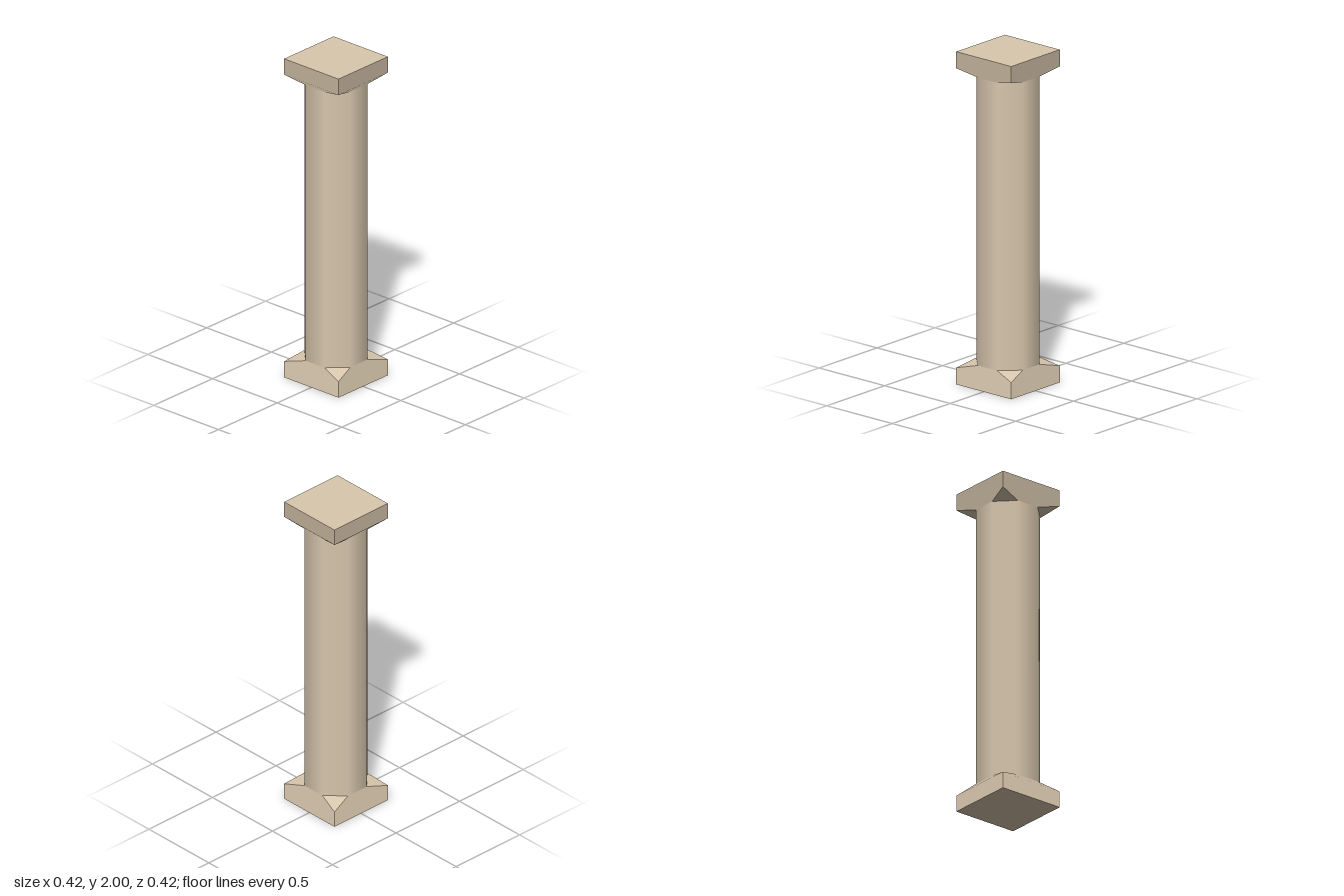
import * as THREE from 'three';

const HALF = 0.21;        // half width of the square plinth
const RADIUS = 0.192;     // corner radius of the eight-sided shaft
const EDGE = 0.1;         // height of the plinth corners
const TOP = 0.135;        // height where the plinth meets the shaft
const NEAR = RADIUS * Math.sin(Math.PI / 8);
const FAR = RADIUS * Math.cos(Math.PI / 8);

// Square block tapering into an octagon, with a sloping facet at each corner
function plinthGeometry() {
  const positions = [], normals = [];
  const up = new THREE.Vector3(0, 1, 0);
  const addFace = (points, normal, angle) => {
    const n = new THREE.Vector3(...normal).normalize().applyAxisAngle(up, angle);
    for (let i = 1; i < points.length - 1; i++) {
      for (const p of [points[0], points[i], points[i + 1]]) {
        positions.push(...new THREE.Vector3(...p).applyAxisAngle(up, angle).toArray());
        normals.push(...n.toArray());
      }
    }
  };

  // the wall and the slope above it share one softly tilted normal
  const wall = [[-HALF, 0, HALF], [HALF, 0, HALF], [HALF, EDGE, HALF], [-HALF, EDGE, HALF]];
  const slope = [[-HALF, EDGE, HALF], [HALF, EDGE, HALF], [NEAR, TOP, FAR], [-NEAR, TOP, FAR]];
  const corner = [[HALF, EDGE, HALF], [FAR, TOP, NEAR], [NEAR, TOP, FAR]];
  const cornerRise = (2 * HALF - NEAR - FAR) / (TOP - EDGE);
  for (let k = 0; k < 4; k++) {
    const angle = k * Math.PI / 2;
    addFace(wall, [0, 0.16, 1], angle);
    addFace(slope, [0, 0.16, 1], angle);
    addFace(corner, [1, cornerRise, 1], angle);
  }
  addFace([[-HALF, 0, -HALF], [HALF, 0, -HALF], [HALF, 0, HALF], [-HALF, 0, HALF]], [0, -1, 0], 0);

  const geometry = new THREE.BufferGeometry();
  geometry.setAttribute('position', new THREE.Float32BufferAttribute(positions, 3));
  geometry.setAttribute('normal', new THREE.Float32BufferAttribute(normals, 3));
  return geometry;
}

export function createModel() {
  const stone = new THREE.MeshStandardMaterial({ color: 0xd9c8ae });
  stone.name = 'sandstone';
  const column = new THREE.Group();
  column.name = 'column';

  // eight-sided shaft, smoothly shaded
  const shaft = new THREE.Mesh(
    new THREE.CylinderGeometry(RADIUS, RADIUS, 2 - 2 * TOP, 8, 1, true, Math.PI / 8), stone);
  shaft.name = 'shaft';
  shaft.position.y = 1;

  // base, and the same block turned over as the capital
  const block = plinthGeometry();
  const base = new THREE.Mesh(block, stone);
  base.name = 'base';
  const capital = new THREE.Mesh(block, stone);
  capital.name = 'capital';
  capital.rotation.x = Math.PI;
  capital.position.y = 2;

  column.add(shaft, base, capital);
  return column;
}
